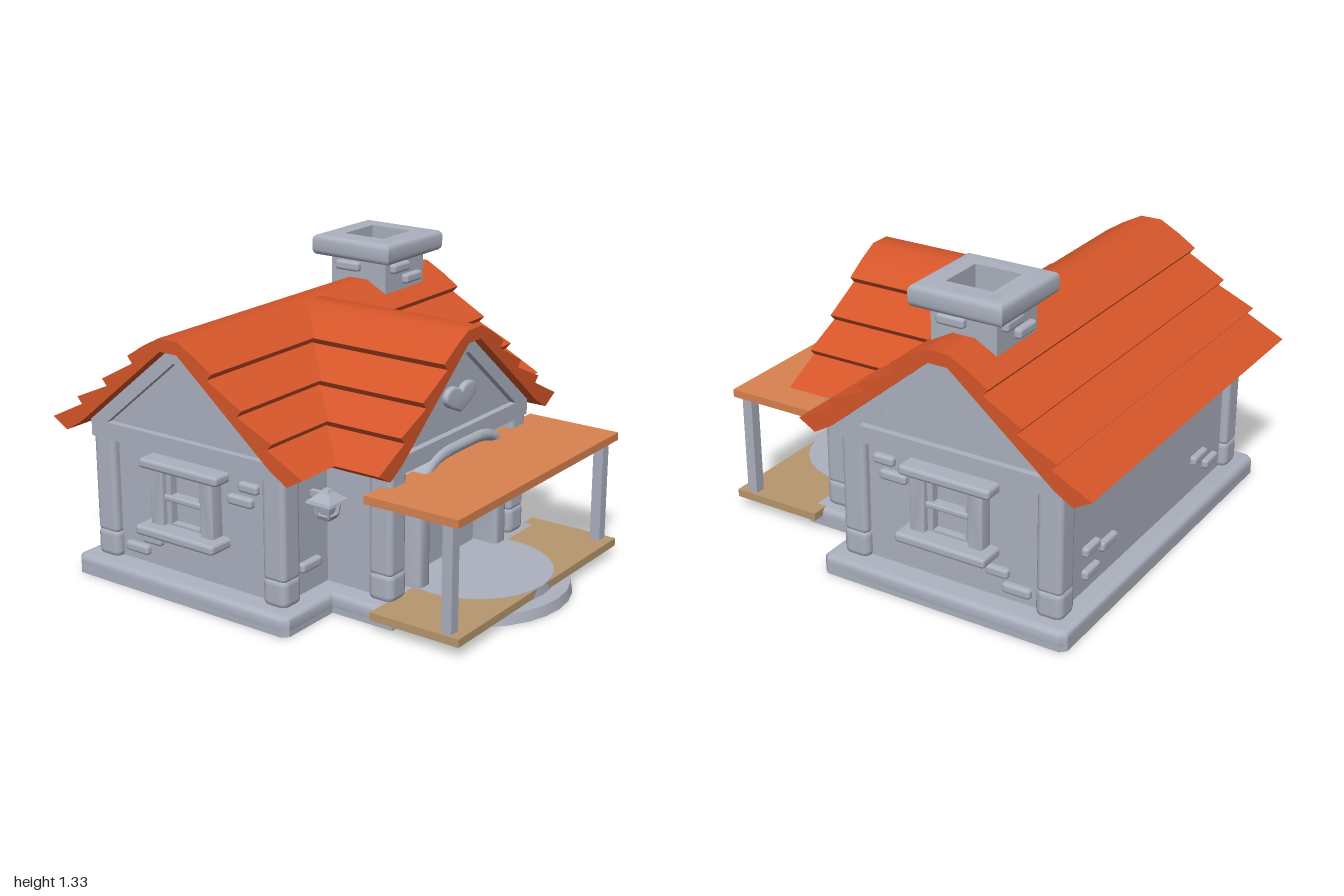
import * as THREE from 'three';
import { RoundedBoxGeometry } from 'three/addons/geometries/RoundedBoxGeometry.js';
import { toCreasedNormals } from 'three/addons/utils/BufferGeometryUtils.js';

const material = (name, color) => Object.assign(new THREE.MeshStandardMaterial({ color }), { name });
const RIDGE_Z = -0.325;

export function createModel() {
  const model = new THREE.Group();
  model.name = 'cottage';
  const stone = material('grey stone', 0xacb1bf);
  const tile = material('red roof tile', 0xd6562a);
  const copper = material('copper canopy', 0xd8824f);
  const wood = material('tan deck wood', 0xb7976e);

  const add = (name, geometry, mat = stone, parent = model) => {
    const mesh = new THREE.Mesh(geometry, mat);
    mesh.name = name;
    parent.add(mesh);
    return mesh;
  };
  // Box given by its extents on each axis, with rounded edges when r > 0
  const box = (name, [x0, x1], [y0, y1], [z0, z1], r = 0, mat = stone, parent = model) => {
    const size = [x1 - x0, y1 - y0, z1 - z0];
    const geo = r ? new RoundedBoxGeometry(...size, 2, r) : new THREE.BoxGeometry(...size);
    geo.translate((x0 + x1) / 2, (y0 + y1) / 2, (z0 + z1) / 2);
    return add(name, geo, mat, parent);
  };
  const poly = (pts) => new THREE.Shape(pts.map(([x, y]) => new THREE.Vector2(x, y)));
  // Closed outline mirrored across x = 0 from the points of its right half
  const mirrored = (half) => poly([...half, ...half.map(([x, y]) => [-x, y]).reverse()]);
  const rect = (x, y0, y1) => mirrored([[x, y0], [x, y1]]);
  const ring = (x, y0, y1, hx, hy0, hy1) => {
    const s = rect(x, y0, y1);
    s.holes.push(rect(hx, hy0, hy1));
    return s;
  };
  const extrude = (shape, depth, bevel = 0) => {
    const geo = new THREE.ExtrudeGeometry(shape, {
      depth: depth - 2 * bevel, curveSegments: 10, bevelEnabled: bevel > 0,
      bevelSize: bevel, bevelThickness: bevel, bevelOffset: -bevel, bevelSegments: 3,
    });
    geo.translate(0, 0, bevel);
    return bevel ? toCreasedNormals(geo, 0.6) : geo;
  };

  // Foundation: square-footed slab with a rounded upper edge, and round steps
  const slab = mirrored([[0.58, -0.56], [0.58, -0.26], [0.865, -0.26], [0.89, -0.235], [0.89, 0.875], [0.865, 0.9]]);
  add('foundation', extrude(slab, 0.085, 0.025).rotateX(-Math.PI / 2));
  add('foundationFooting', extrude(slab, 0.06).rotateX(-Math.PI / 2));
  for (const [r, h] of [[0.42, 0.047], [0.347, 0.088]]) {
    add('roundStep', new THREE.CylinderGeometry(r - 0.008, r, h, 28).translate(0, h / 2, 0.58));
  }

  // Walls and the beams resting on the pillars
  box('mainWalls', [-0.78, 0.78], [0.07, 0.64], [-0.805, 0.16]);
  box('wingWalls', [-0.48, 0.48], [0.07, 0.64], [0, 0.4]);
  box('mainBeam', [-0.82, 0.82], [0.62, 0.695], [-0.84, 0.2]);
  box('wingBeam', [-0.52, 0.52], [0.62, 0.695], [0, 0.51]);

  // Corner pillars with a swollen foot
  for (const s of [-1, 1]) {
    for (const [px, z] of [[0.46, 0.45], [0.76, 0.14], [0.76, -0.78]]) {
      const x = s * px;
      box('pillarFoot', [x - 0.062, x + 0.062], [0.07, 0.21], [z - 0.062, z + 0.062], 0.035);
      box('pillarShaft', [x - 0.058, x + 0.058], [0.185, 0.64], [z - 0.058, z + 0.058], 0.025);
    }
  }

  // Gables: recessed infill and a raised border under the roof
  const gable = mirrored([[0.53, 0.69], [0.045, 1.088]]);
  const outer = [[0.53, 0.69], [0.045, 1.088]];
  const inner = [[0.035, 1.02], [0.43, 0.69]];
  const flip = (pts) => pts.map(([x, y]) => [-x, y]).reverse();
  const border = poly([...outer, ...flip(outer), ...flip(inner), ...inner]);
  add('wingGable', extrude(gable, 0.76).translate(0, 0, -0.28));
  add('wingGableBorder', extrude(border, 0.04).translate(0, 0, 0.47));
  add('mainGable', extrude(gable, 1.58).translate(0, 0, -0.79).rotateY(Math.PI / 2).translate(0, 0, RIDGE_Z));
  for (const s of [-1, 1]) {
    add('mainGableBorder', extrude(border, 0.04).translate(0, 0, 0.78)
      .rotateY(s * Math.PI / 2).translate(0, 0, RIDGE_Z));
  }

  // Heart ornament
  const heart = new THREE.Shape();
  heart.moveTo(0, 0.765);
  heart.bezierCurveTo(0.03, 0.785, 0.115, 0.8, 0.115, 0.848);
  heart.bezierCurveTo(0.11, 0.895, 0.03, 0.9, 0, 0.86);
  heart.bezierCurveTo(-0.03, 0.9, -0.11, 0.895, -0.115, 0.848);
  heart.bezierCurveTo(-0.115, 0.8, -0.03, 0.785, 0, 0.765);
  add('heart', extrude(heart, 0.035, 0.01).translate(0, 0, 0.47));

  // Stepped roof profile: each course ends in a tip with a notch under it
  const courses = [[0.525, 0.808], [0.375, 0.914], [0.225, 1.037]];
  const roofHalf = [[0.045, 1.085], [0.515, 0.695], [0.597, 0.647], [0.675, 0.692]];
  for (const [d, y] of courses) roofHalf.push([d - 0.025, y - 0.028], [d, y]);
  roofHalf.push([0.14, 1.092], [0.05, 1.14]);
  const roof = (length) => toCreasedNormals(extrude(mirrored(roofHalf), length), 0.6);
  add('mainRoof', roof(1.77).translate(0, 0, -0.885).rotateY(Math.PI / 2).translate(0, 0, RIDGE_Z), tile);
  add('wingRoof', roof(0.56 - RIDGE_Z).translate(0, -0.002, RIDGE_Z), tile);

  // Arched door frame, traced up the outside and back down the inside
  const frameShape = new THREE.Shape();
  const archOver = (w, spring, top) => {
    const mid = (spring + top) / 2;
    frameShape.lineTo(w, spring);
    frameShape.bezierCurveTo(w, mid, w * 0.75, top, w * 0.3, top);
    frameShape.lineTo(-w * 0.3, top);
    frameShape.bezierCurveTo(-w * 0.75, top, -w, mid, -w, spring);
    frameShape.lineTo(-w, 0.05);
  };
  frameShape.moveTo(0.34, 0.05);
  archOver(0.34, 0.47, 0.655);
  frameShape.lineTo(-0.255, 0.05);
  archOver(-0.255, 0.54, 0.6);
  add('doorFrame', extrude(frameShape, 0.16, 0.025).translate(0, 0, 0.37));
  box('door', [-0.25, 0.25], [0.08, 0.585], [0.39, 0.412]);

  // Porch: deck, canopy and two posts
  box('porchDeck', [-0.637, 0.637], [0.05, 0.085], [0.49, 0.915], 0, wood);
  box('porchCanopy', [-0.637, 0.637], [0.545, 0.58], [0.46, 0.905], 0, copper);
  for (const x of [-0.597, 0.597]) {
    box('porchPost', [x - 0.024, x + 0.024], [0.085, 0.545], [0.822, 0.87]);
  }

  // Loose bricks [u, y, width] on a wall whose outward direction is local +z
  const bricks = (list, parent, h = 0.044, proud = 0.026) => {
    for (const [u, y, w] of list) {
      box('brick', [u - w / 2, u + w / 2], [y - h / 2, y + h / 2], [-0.03, proud], 0.014, stone, parent);
    }
  };
  const facing = (name, angle, x, y, z) => {
    const g = new THREE.Group();
    g.name = name;
    g.rotation.y = angle;
    g.position.set(x, y, z);
    model.add(g);
    return g;
  };
  bricks([[-0.55, 0.57, 0.13], [-0.44, 0.52, 0.12], [-0.53, 0.27, 0.12], [-0.39, 0.23, 0.13], [-0.53, 0.165, 0.12],
    [0.42, 0.52, 0.12], [0.54, 0.52, 0.1], [0.65, 0.565, 0.12], [0.46, 0.24, 0.13], [0.58, 0.17, 0.12],
  ], facing('backBricks', Math.PI, 0, 0, -0.805));
  bricks([[-0.61, 0.205, 0.13], [0.61, 0.165, 0.11]], facing('frontBricks', 0, 0, 0, 0.16));

  // Side windows and side bricks
  for (const s of [-1, 1]) {
    const side = facing('sideBricks', s * Math.PI / 2, s * 0.78, 0, 0);
    bricks([[0, 0.555, 0.1], [0.045, 0.49, 0.13], [0.535, 0.205, 0.105], [0.625, 0.145, 0.13]]
      .map(([u, y, w]) => [s * u, y, w]), side);

    const win = facing('window', s * Math.PI / 2, s * 0.78, 0, RIDGE_Z);
    box('windowLintel', [-0.213, 0.213], [0.55, 0.595], [-0.03, 0.085], 0.016, stone, win);
    box('windowSill', [-0.213, 0.213], [0.263, 0.308], [-0.03, 0.12], 0.016, stone, win);
    add('windowFrame', extrude(ring(0.17, 0.285, 0.57, 0.102, 0.305, 0.55), 0.075, 0.008)
      .translate(0, 0, -0.012), stone, win);
    add('windowSash', extrude(ring(0.112, 0.29, 0.56, 0.076, 0.318, 0.535), 0.035), stone, win);
    box('windowCrossbar', [-0.108, 0.108], [0.418, 0.443], [-0.01, 0.05], 0.008, stone, win);
  }

  // Hollow chimney stack with a rounded cap around its mouth
  const flue = 0.107;
  add('chimneyStack', extrude(ring(0.15, -0.15, 0.15, flue, -flue, flue), 0.428)
    .rotateX(-Math.PI / 2).translate(0.55, 0.9, RIDGE_Z));
  box('flueFloor', [0.43, 0.67], [1.13, 1.15], [RIDGE_Z - 0.12, RIDGE_Z + 0.12]);
  add('chimneyCap', extrude(ring(0.215, -0.213, 0.213, 0.112, -0.112, 0.112), 0.095, 0.025)
    .rotateX(-Math.PI / 2).translate(0.55, 1.233, RIDGE_Z));
  for (let i = 0; i < 4; i++) {
    const a = i * Math.PI / 2;
    const g = facing('chimneyBricks', a, 0.55 + 0.15 * Math.sin(a), 0, RIDGE_Z + 0.15 * Math.cos(a));
    bricks([[-0.05, 1.195, 0.13]], g, 0.045, 0.028);
    if (i % 2 === 0) bricks([[0.045, 1.132, 0.13]], g, 0.045, 0.028);
  }

  // Wall lanterns either side of the wing
  for (const x of [-0.585, 0.585]) {
    const g = facing('lantern', 0, x, 0, 0.24);
    const tier = (name, rTop, rBottom, y0, y1) => add(name,
      new THREE.CylinderGeometry(rTop * Math.SQRT2, rBottom * Math.SQRT2, y1 - y0, 4, 1)
        .rotateY(Math.PI / 4).translate(0, (y0 + y1) / 2, 0).toNonIndexed(), stone, g).geometry.computeVertexNormals();
    tier('lanternBase', 0.036, 0.026, 0.415, 0.435);
    tier('lanternCore', 0.03, 0.02, 0.435, 0.49);
    tier('lanternEave', 0.06, 0.064, 0.488, 0.5);
    tier('lanternRoof', 0.022, 0.056, 0.5, 0.53);
    tier('lanternFinial', 0.012, 0.02, 0.53, 0.545);
    for (const [sx, sz] of [[1, 1], [1, -1], [-1, 1], [-1, -1]]) {
      const post = add('lanternPost', new THREE.BoxGeometry(0.01, 0.07, 0.01), stone, g);
      post.position.set(sx * 0.034, 0.462, sz * 0.034);
      post.rotation.set(sz * 0.15, 0, -sx * 0.15);
    }
    box('lanternBracket', [-0.012, 0.012], [0.5, 0.525], [-0.09, 0], 0, stone, g);
  }
  return model;
}
